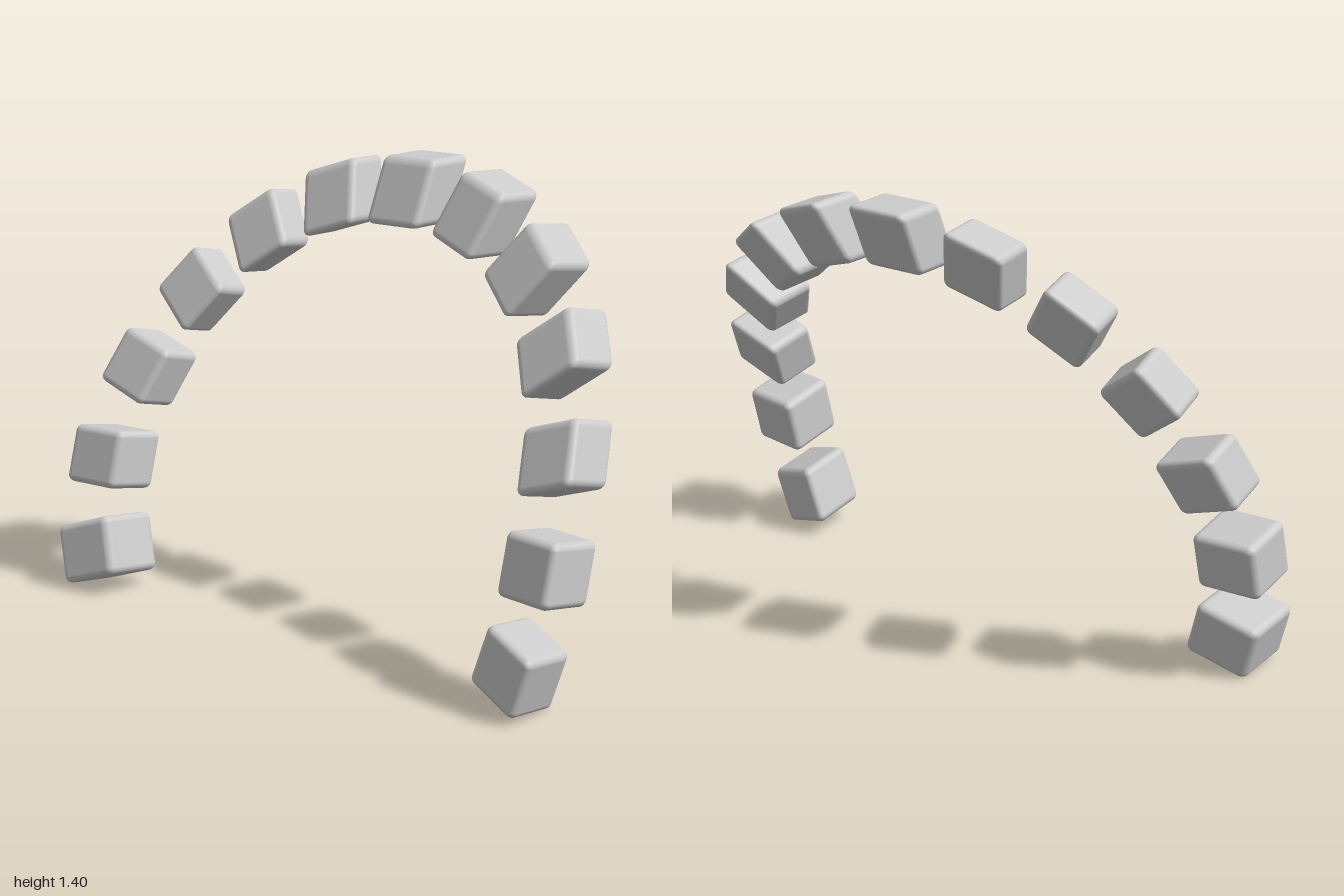
import * as THREE from 'three';
import { RoundedBoxGeometry } from 'three/addons/geometries/RoundedBoxGeometry.js';

const RADIUS = 0.9, CENTRE_Y = 0.4, SIZE = 0.2, STEP = Math.PI / 10;

// One row per block, from the front foot over the top to the back foot:
// [centre x, width, sideways lean along the arch, sideways lean outward, sag across the width]
const BLOCKS = [
  [-0.31, 0.210, 0.01, -0.06, 0.025],
  [-0.25, 0.205, 0.05, -0.04, 0.035],
  [-0.11, 0.175, 0.11, -0.01, 0.04],
  [0.06, 0.165, 0.11, 0.04, 0.04],
  [0.20, 0.170, 0.08, 0.075, 0.035],
  [0.28, 0.175, 0.04, 0.085, 0.02],
  [0.31, 0.180, 0, 0.09, 0],
  [0.29, 0.170, -0.03, 0.085, -0.02],
  [0.225, 0.160, -0.057, 0.07, -0.035],
  [0.13, 0.155, -0.075, 0.05, -0.04],
  [0.015, 0.165, -0.08, 0.01, -0.04],
  [-0.11, 0.185, -0.05, -0.01, -0.035],
  [-0.19, 0.205, -0.03, -0.03, -0.025],
];

export function createModel() {
  const group = new THREE.Group();
  group.name = 'blockArch';
  const material = new THREE.MeshStandardMaterial({ color: 0xcccccc });

  BLOCKS.forEach(([x, width, leanAlong, leanOut, sag], i) => {
    const angle = (i - 1) * STEP;
    const c = Math.cos(angle), s = Math.sin(angle);
    const length = SIZE - Math.abs(sag) * 0.6;

    // Edge vectors of the skewed block: across, along the arch, outward
    const across = new THREE.Vector3(width, -sag * c, sag * s);
    const along = new THREE.Vector3(leanAlong, length * c, -length * s);
    const outward = new THREE.Vector3(leanOut, SIZE * s, SIZE * c);
    const skew = new THREE.Matrix4().makeBasis(across, along, outward);

    const geometry = new RoundedBoxGeometry(1, 1, 1, 4, 0.12).applyMatrix4(skew);
    const block = new THREE.Mesh(geometry, material);
    block.name = `archBlock${i + 1}`;
    block.position.set(x, CENTRE_Y + RADIUS * s, RADIUS * c);
    group.add(block);
  });

  // Stand the arch on the ground
  const box = new THREE.Box3().setFromObject(group, true);
  group.children.forEach((block) => { block.position.y -= box.min.y; });
  return group;
}
